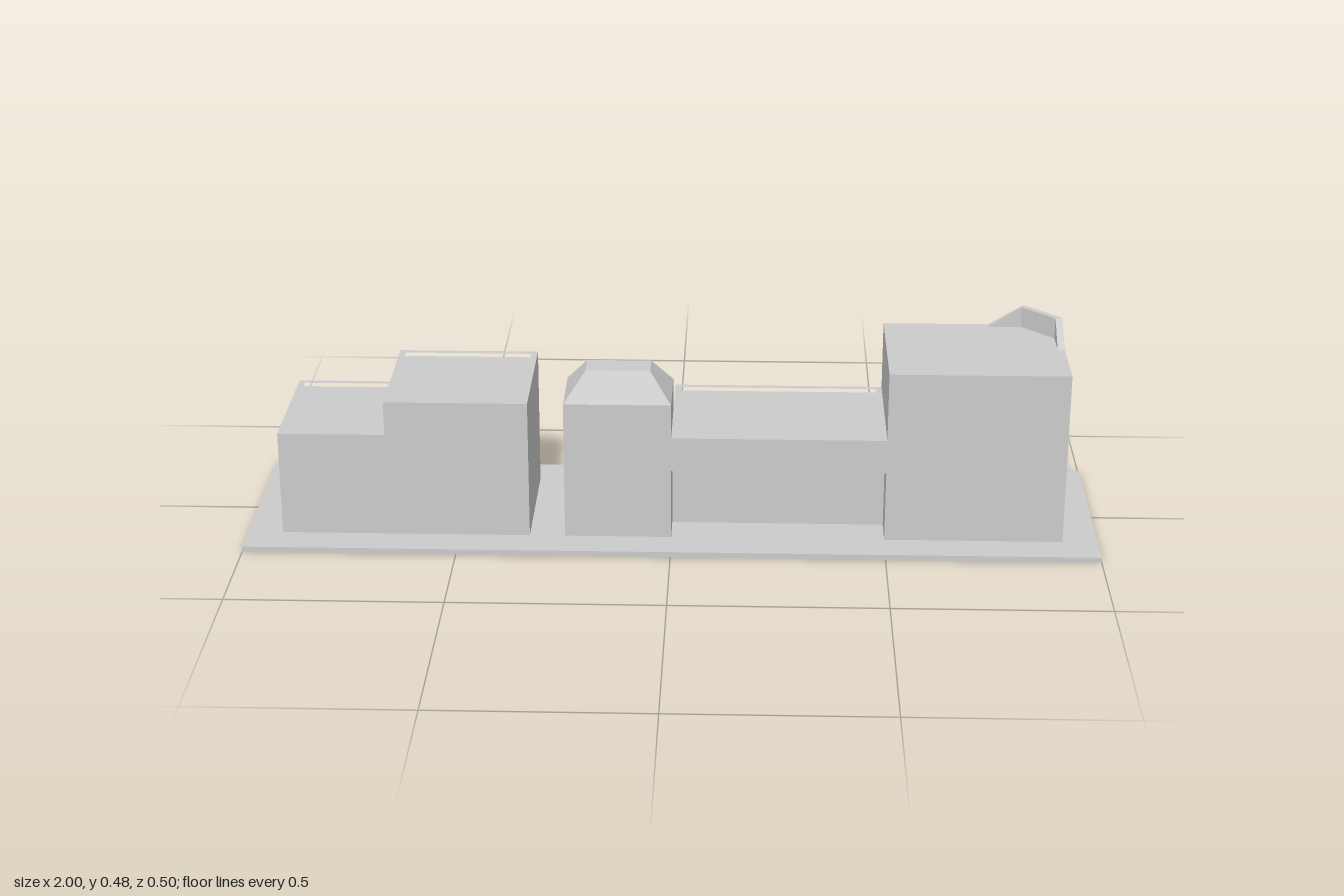
import * as THREE from 'three';

const GROUND = 0.013, STOREY = 0.097; // top of the plinth, top of the shopfront level
const D = 0.167;   // half depth of the buildings
const IN = 0.004;  // depth of shallow shopfront recesses
const WALL = 0.015; // parapet thickness

const material = new THREE.MeshStandardMaterial({ color: 0xcccccc, flatShading: true });

function add(parent, geometry, name) {
  const mesh = new THREE.Mesh(geometry, material);
  mesh.name = name;
  parent.add(mesh);
  return mesh;
}

function group(parent, name) {
  const g = new THREE.Group();
  g.name = name;
  parent.add(g);
  return g;
}

// Vertical prism over a plan outline of [x, z] corners, with an optional hole
function prism(outline, y0, y1, hole) {
  const pts = (list) => list.map(([x, z]) => new THREE.Vector2(x, -z));
  const shape = new THREE.Shape(pts(outline));
  if (hole) shape.holes.push(new THREE.Path(pts(hole)));
  return new THREE.ExtrudeGeometry(shape, { depth: y1 - y0, bevelEnabled: false })
    .rotateX(-Math.PI / 2)
    .translate(0, y0, 0);
}

const rect = (x0, x1, z0, z1) => [[x0, z0], [x1, z0], [x1, z1], [x0, z1]];

// Upper storeys with a sunken flat roof behind a parapet
function parapetBlock(parent, x0, x1, y0, y1) {
  add(parent, prism(rect(x0, x1, -D, D), y0, y1 - WALL), 'upperStoreys');
  add(parent, prism(rect(x0, x1, -D, D), y1 - WALL, y1,
    rect(x0 + WALL, x1 - WALL, -D + WALL, D - WALL)), 'parapet');
}

// Solid swept through matching four-point cross-sections
function loft(sections) {
  const pos = [];
  const quad = (a, b, c, d) => pos.push(...a, ...b, ...c, ...a, ...c, ...d);
  for (let i = 0; i < sections.length - 1; i++) {
    const s = sections[i], t = sections[i + 1];
    for (let j = 0; j < 4; j++) {
      const k = (j + 1) % 4;
      quad(s[j], s[k], t[k], t[j]);
    }
  }
  const [a, b, c, d] = sections[0];
  quad(d, c, b, a);
  quad(...sections[sections.length - 1]);
  const geometry = new THREE.BufferGeometry();
  geometry.setAttribute('position', new THREE.Float32BufferAttribute(pos, 3));
  geometry.computeVertexNormals();
  return geometry;
}

export function createModel() {
  const model = new THREE.Group();
  model.name = 'buildingRow';

  // Plinth
  add(model, prism(rect(-1, 1, -0.25, 0.25), 0, GROUND), 'plinth');

  // Stepped building with a curved entrance niche and a corner shopfront at the back
  const stepped = group(model, 'steppedBuilding');
  const niche = [];
  for (let i = 0; i <= 10; i++) {
    const t = i / 10;
    niche.push([-0.583 + 0.166 * t, -D + 0.045 * Math.sin(Math.PI * t)]);
  }
  add(stepped, prism([
    [-0.917, D], [-0.917, 0], [-0.917 + IN, 0], [-0.917 + IN, -D + IN],
    [-0.75, -D + IN], [-0.75, -D], ...niche, [-0.333, -D], [-0.333, D],
  ], GROUND, STOREY), 'groundFloor');
  parapetBlock(stepped, -0.917, -0.667, STOREY, 0.265);
  parapetBlock(stepped, -0.667, -0.333, STOREY, 0.347);

  // Tower with a truncated hip roof
  const tower = group(model, 'tower');
  add(tower, prism(rect(-0.25, 0, 0, D), GROUND, 0.347), 'towerBody');
  const ring = (x0, x1, z0, z1, y) => rect(x0, x1, z0, z1).reverse().map(([x, z]) => [x, y, z]);
  add(tower, loft([
    ring(-0.25, 0, 0, D, 0.347),
    ring(-0.2, -0.05, 0.05, 0.117, 0.412),
  ]), 'hipRoof');

  // Low annex behind the tower
  const annex = group(model, 'annex');
  add(annex, prism([
    [-0.25, 0], [-0.25, -0.083], [-0.25 + IN, -0.083], [-0.25 + IN, -D + IN],
    [0, -D + IN], [0, 0],
  ], GROUND, STOREY), 'groundFloor');
  add(annex, prism(rect(-0.25, 0, -D, 0), STOREY, 0.18), 'upperStorey');

  // Middle building: open front passage, back doorway and shopfront
  const middle = group(model, 'middleBuilding');
  add(middle, prism([
    [0, 0.083], [0, -D], [0.083, -D], [0.083, -D + 0.04], [0.167, -D + 0.04], [0.167, -D],
    [0.25, -D], [0.25, -D + IN], [0.5, -D + IN], [0.5, 0.083],
  ], GROUND, STOREY), 'groundFloor');
  add(middle, prism(rect(0, 0.5, -D, 0.083), STOREY, 0.183), 'recessedStorey');
  parapetBlock(middle, 0, 0.5, 0.183, 0.265);

  // Tall corner building with a chamfered back corner
  const corner = group(model, 'cornerBuilding');
  add(corner, prism([
    [0.5, D], [0.5, -D], [0.75, -D], [0.75, -D + IN], [0.833, -D + IN],
    [0.917 - IN, -0.081], [0.917 - IN, 0], [0.917, 0], [0.917, D],
  ], GROUND, STOREY), 'groundFloor');
  add(corner, prism([
    [0.5, D], [0.5, -D], [0.833, -D], [0.917, -0.083], [0.917, D],
  ], STOREY, 0.43), 'upperStoreys');

  // Thin wall rising over the chamfered corner: outer x, z, inner x, z, top
  const crest = [
    [0.75, -D, 0.75, -0.151, 0.43],
    [0.833, -D, 0.827, -0.151, 0.48],
    [0.917, -0.083, 0.9, -0.077, 0.48],
    [0.917, 0, 0.9, 0, 0.43],
  ].map(([xo, zo, xi, zi, top]) => [
    [xo, 0.429, zo], [xo, top, zo], [xi, top, zi], [xi, 0.429, zi],
  ].reverse());
  add(corner, loft(crest.reverse()), 'cornerCrest');

  return model;
}
